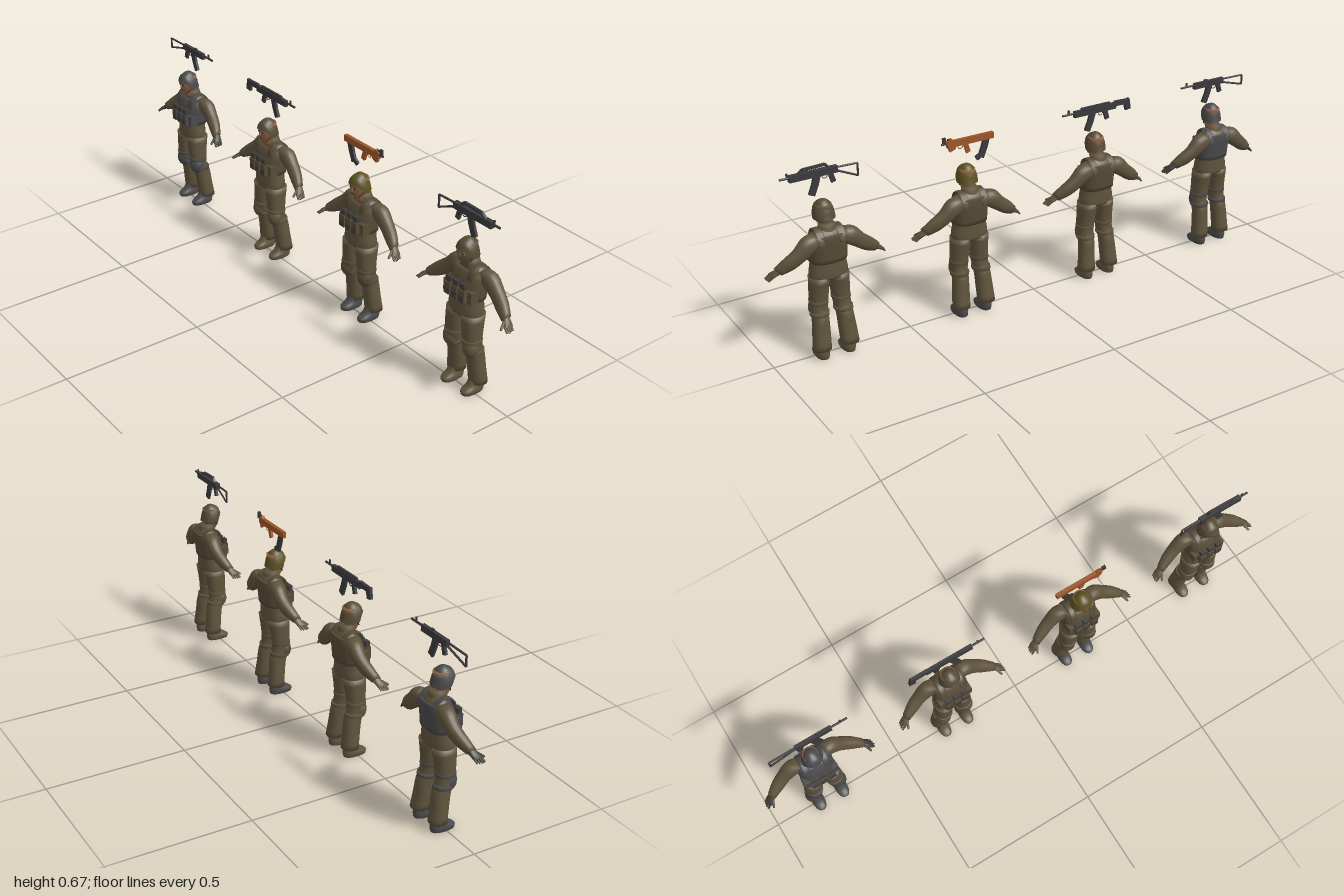
import * as THREE from 'three';

const mat = (name, color, side = THREE.FrontSide) => {
  const m = new THREE.MeshStandardMaterial({ color, side });
  m.name = name;
  return m;
};
const M = {
  uniform: mat('uniformOlive', 0x5f533c),
  vest: mat('vestOlive', 0x564b36, THREE.DoubleSide),
  grey: mat('gearGrey', 0x4a4a4c, THREE.DoubleSide),
  pouch: mat('pouchGrey', 0x403d39),
  gun: mat('gunMetal', 0x3a3a3c),
  skin: mat('skin', 0x8a5f42),
  green: mat('helmetGreen', 0x5a5220, THREE.DoubleSide),
  wood: mat('orangeWood', 0x9a5628),
  dark: mat('dark', 0x262523),
};
const V = (x, y, z = 0) => new THREE.Vector3(x, y, z);
const X = V(1, 0), Z = V(0, 0, 1);

function add(group, name, geometry, material) {
  const mesh = new THREE.Mesh(geometry, material);
  mesh.name = name;
  group.add(mesh);
}

// Smooth skin through rings [x, y, z, radiusU, radiusV]; p > 2 makes the section boxier
function loft(rings, u = X, v = Z, p = 2.2, n = 20) {
  const centres = new THREE.CatmullRomCurve3(rings.map(r => V(r[0], r[1], r[2])));
  const radii = new THREE.CatmullRomCurve3(rings.map(r => V(r[3], r[4])));
  const steps = (rings.length - 1) * 3, pos = [], idx = [];
  const along = centres.getPoint(1).sub(centres.getPoint(0));
  const dir = u.clone().normalize();
  if (dir.clone().cross(v).dot(along) < 0) dir.negate();
  for (let i = 0; i <= steps; i++) {
    const c = centres.getPoint(i / steps), r = radii.getPoint(i / steps);
    for (let k = 0; k < n; k++) {
      const a = (k / n) * Math.PI * 2, co = Math.cos(a), si = Math.sin(a);
      const q = c.clone()
        .addScaledVector(dir, r.x * Math.sign(co) * Math.abs(co) ** (2 / p))
        .addScaledVector(v, r.y * Math.sign(si) * Math.abs(si) ** (2 / p));
      pos.push(...q.toArray());
    }
  }
  for (let i = 0; i < steps; i++) for (let k = 0; k < n; k++) {
    const a = i * n + k, b = i * n + (k + 1) % n;
    idx.push(a, b, b + n, a, b + n, a + n);
  }
  // End caps
  const base = pos.length / 3, top = steps * n;
  pos.push(...centres.getPoint(0).toArray(), ...centres.getPoint(1).toArray());
  for (let k = 0; k < n; k++) {
    const k2 = (k + 1) % n;
    idx.push(base, k2, k, base + 1, top + k, top + k2);
  }
  const g = new THREE.BufferGeometry();
  g.setAttribute('position', new THREE.Float32BufferAttribute(pos, 3));
  g.setIndex(idx);
  g.computeVertexNormals();
  return g;
}
// Upright loft from rows [y, z, radiusX, radiusZ], with x given by a rule of y
const column = (rows, x = () => 0, p = 2.2) => loft(rows.map(([y, ...r]) => [x(y), y, ...r]), X, Z, p);
const box = (x, y, z, w, h, d) => new THREE.BoxGeometry(w, h, d).translate(x, y, z);
const ball = (c, a, b, d) => new THREE.SphereGeometry(1, 18, 12).scale(a, b, d).translate(c.x, c.y, c.z);

function between(g, a, b) {
  const turn = new THREE.Quaternion().setFromUnitVectors(V(0, 1), b.clone().sub(a).normalize());
  const mid = a.clone().lerp(b, 0.5);
  return g.applyQuaternion(turn).translate(mid.x, mid.y, mid.z);
}
const rod = (a, b, r, tip = r) => between(new THREE.CylinderGeometry(tip, r, a.distanceTo(b), 8), a, b);
const bar = (a, b, w, d = 0.009) => between(new THREE.BoxGeometry(w, a.distanceTo(b), d), a, b);

// Dome whose rim is high over the face and low over the ears
function helmetGeometry() {
  const g = new THREE.SphereGeometry(1, 28, 14, 0, Math.PI * 2, 0, Math.PI / 2), p = g.attributes.position;
  for (let i = 0; i < p.count; i++) {
    const y = p.getY(i), z = p.getZ(i);
    const rim = 0.488 + 0.027 * THREE.MathUtils.smoothstep(z, 0.1, 0.8);
    const flare = 1 + 0.08 * Math.max(0, 1 - 5 * y) * Math.abs(z);
    p.setXYZ(i, p.getX(i) * 0.037, rim + (0.551 - rim) * y, 0.005 + z * 0.037 * flare);
  }
  g.computeVertexNormals();
  return g;
}

function buildHead(g, o) {
  const face = o.mask ? M.uniform : M.skin;
  add(g, 'head', column([[0.445, -0.008, 0.022, 0.022], [0.469, 0.006, 0.02, 0.025],
    [0.485, 0.008, 0.026, 0.029], [0.51, 0.006, 0.031, 0.032], [0.535, 0.003, 0.026, 0.028]]), face);
  if (o.mask) add(g, 'eyeOpening', box(0, 0.506, 0.035, 0.034, 0.012, 0.006), M.skin);
  add(g, 'nose', ball(V(0, 0.495, 0.037), 0.004, 0.008, 0.006), face);
  if (!o.mask) add(g, 'mouth', box(0, 0.482, 0.036, 0.013, 0.002, 0.003), M.dark);
  for (const s of [-1, 1]) {
    add(g, 'eye', box(s * 0.011, 0.505, 0.037, 0.007, 0.003, 0.004), M.dark);
    add(g, 'chinStrap', rod(V(s * 0.031, 0.495, 0.008), V(s * 0.017, 0.47, 0.024), 0.0025), M.pouch);
  }
  add(g, 'helmet', helmetGeometry(), o.helmet);
  add(g, 'collar', column([[0.448, -0.013, 0.033, 0.03], [0.474, -0.011, 0.026, 0.025]]), M.uniform);
}

const jacket = [[0.285, -0.002, 0.065, 0.041], [0.305, -0.002, 0.066, 0.042], [0.345, -0.003, 0.06, 0.041],
  [0.39, -0.007, 0.061, 0.041], [0.42, -0.012, 0.06, 0.038], [0.442, -0.018, 0.054, 0.031], [0.464, -0.013, 0.028, 0.02]];

function buildTorso(g, o) {
  add(g, 'jacket', column(jacket), M.uniform);
  // The vest follows the jacket a little further out
  add(g, 'vest', column(jacket.slice(2, 6).map(([y, z, rx, rz]) => [y, z, rx + 0.003, rz + 0.005]), undefined, 2.6), o.vest);
  for (const s of [-1, 1]) {
    const strap = [];
    for (let i = 0; i < 6; i++) {
      const a = i * Math.PI / 5;
      strap.push([s * 0.037, 0.418 + 0.043 * Math.sin(a), -0.013 + 0.041 * Math.cos(a), 0.012, 0.004]);
    }
    add(g, 'vestStrap', loft(strap, X, V(0, 0.75, 0.66), 3, 10), o.vest);
    add(g, 'sidePouch', box(s * 0.054, 0.367, 0.026, 0.018, 0.042, 0.03), o.vest);
  }
  for (const x of [-0.032, 0, 0.032]) {
    add(g, 'magazinePouch', box(x, 0.372, 0.045, 0.027, 0.042, 0.022), o.vest);
    add(g, 'magazine', box(x, 0.396, 0.045, 0.022, 0.034, 0.015), M.pouch);
    add(g, 'pouchFlap', box(x, 0.362, 0.0555, 0.023, 0.022, 0.003), M.pouch);
  }
}

function buildLeg(g, o, s) {
  const legX = y => s * (0.052 - 0.062 * y), footX = () => s * 0.047;
  add(g, 'trouserLeg', column([[0.034, -0.025, 0.031, 0.03], [0.09, -0.018, 0.03, 0.029], [0.14, -0.011, 0.028, 0.031],
    [0.175, 0.001, 0.029, 0.031], [0.23, 0.002, 0.032, 0.035], [0.29, -0.002, 0.034, 0.041]], legX), M.uniform);
  add(g, 'kneePad', ball(V(s * 0.045, 0.172, 0.011), 0.028, 0.036, 0.028), o.knee);
  for (const y of [0.158, 0.198]) {
    const z = (y - 0.18) / 5;
    add(g, 'kneeStrap', column([[y - 0.006, z, 0.032, 0.034], [y + 0.006, z, 0.032, 0.034]], legX), o.knee);
  }
  add(g, 'boot', column([[0, -0.004, 0.021, 0.042], [0.012, -0.004, 0.023, 0.044],
    [0.028, -0.015, 0.02, 0.032], [0.055, -0.022, 0.02, 0.024]], footX, 2.4), o.boot);
}

// Arm and hand reach out and down, sweeping forward
function buildArm(g, o, s) {
  const across = V(s * 0.64, 0.77);
  add(g, 'sleeve', loft([[s * 0.038, 0.432, -0.022, 0.027, 0.024], [s * 0.07, 0.42, -0.026, 0.032, 0.027],
    [s * 0.105, 0.391, -0.025, 0.026, 0.023], [s * 0.14, 0.364, -0.016, 0.024, 0.021], [s * 0.173, 0.341, -0.003, 0.016, 0.016]], across), M.uniform);
  add(g, 'palm', loft([[s * 0.168, 0.344, -0.004, 0.011, 0.013], [s * 0.195, 0.326, 0.007, 0.006, 0.017]], across), o.glove);
  for (let i = 0; i < 4; i++) {
    const z = -0.006 + i * 0.0085, tip = 0.209 - Math.abs(i - 2) * 0.002;
    add(g, 'finger', rod(V(s * 0.192, 0.328, z), V(s * tip, 0.315, z + 0.004), 0.0042, 0.003), o.glove);
  }
  add(g, 'thumb', rod(V(s * 0.18, 0.336, 0.012), V(s * 0.189, 0.322, 0.034), 0.0055, 0.0035), o.glove);
}

function buildSoldier(o) {
  const g = new THREE.Group();
  g.name = 'soldier';
  buildHead(g, o);
  buildTorso(g, o);
  for (const s of [-1, 1]) {
    buildLeg(g, o, s);
    buildArm(g, o, s);
  }
  return g;
}

// Rifle from its butt-side end, fore end, muzzle, magazine and grip positions along x
function buildRifle({ rear, fore, muzzle, mag, grip, wide = 0.013, body = M.gun }) {
  const g = new THREE.Group();
  g.name = 'rifle';
  add(g, 'receiver', box((rear + fore) / 2, 0.639, 0, fore - rear, 0.022, wide), body);
  add(g, 'barrel', rod(V(fore, 0.643), V(muzzle, 0.643), 0.004), M.gun);
  add(g, 'frontSight', box(muzzle - 0.025, 0.651, 0, 0.006, 0.016, 0.004), M.gun);
  add(g, 'magazine', bar(V(mag, 0.632), V(mag + 0.009, 0.6), 0.023), M.gun);
  add(g, 'magazineEnd', bar(V(mag + 0.007, 0.605), V(mag + 0.023, 0.567), 0.022), M.gun);
  add(g, 'grip', bar(V(grip, 0.63), V(grip - 0.01, 0.597), 0.016), body);
  add(g, 'triggerGuard', new THREE.TorusGeometry(0.009, 0.0015, 6, 16).translate(grip + 0.019, 0.624, 0), body);
  return g;
}
function skeletonStock(g, x0, x1, drop) {
  const corners = [V(x0, 0.643), V(x1, 0.641), V(x1, drop), V(x0, 0.632)];
  for (let i = 0; i < 3; i++) add(g, 'stock', rod(corners[i], corners[i + 1], 0.0036), M.gun);
}

// Folding stock rifle
function foldingRifle() {
  const g = buildRifle({ rear: -0.035, fore: 0.098, muzzle: 0.157, mag: 0.026, grip: -0.013 });
  add(g, 'rearSight', box(0.045, 0.652, 0, 0.014, 0.008, 0.006), M.gun);
  skeletonStock(g, -0.03, -0.128, 0.605);
  return g;
}
// Solid stock rifle
function solidRifle() {
  const g = buildRifle({ rear: -0.075, fore: 0.1, muzzle: 0.147, mag: 0.022, grip: -0.03 });
  add(g, 'topRail', box(0.01, 0.653, 0, 0.12, 0.008, 0.008), M.gun);
  add(g, 'stock', bar(V(-0.07, 0.646), V(-0.125, 0.644), 0.018, 0.011), M.gun);
  add(g, 'butt', bar(V(-0.122, 0.653), V(-0.129, 0.614), 0.022, 0.011), M.gun);
  return g;
}
// Compact wooden rifle with the magazine behind the grip
function compactRifle() {
  const g = buildRifle({ rear: -0.096, fore: 0.08, muzzle: 0.099, mag: -0.07, grip: 0.01, body: M.wood });
  add(g, 'foreGrip', bar(V(0.074, 0.654), V(0.059, 0.617), 0.024, 0.012), M.wood);
  add(g, 'magazineTip', bar(V(-0.053, 0.58), V(-0.03, 0.566), 0.016), M.gun);
  add(g, 'muzzleBlock', box(0.09, 0.655, 0, 0.012, 0.02, 0.008), M.gun);
  return g;
}
// Carry handle rifle
function handleRifle() {
  const g = buildRifle({ rear: -0.06, fore: 0.105, muzzle: 0.136, mag: 0.01, grip: -0.035, wide: 0.017 });
  const handle = [V(-0.03, 0.646), V(-0.02, 0.662), V(0.058, 0.66), V(0.076, 0.646)];
  for (let i = 0; i < 3; i++) add(g, 'carryHandle', bar(handle[i], handle[i + 1], 0.008), M.gun);
  skeletonStock(g, -0.058, -0.131, 0.598);
  return g;
}

export function createModel() {
  const model = new THREE.Group();
  model.name = 'soldierSquad';
  const plain = { helmet: M.vest, vest: M.vest, knee: M.uniform, boot: M.uniform, glove: M.uniform };
  const squad = [
    { rifle: foldingRifle(), z: -0.006, o: { helmet: M.grey, vest: M.grey, knee: M.grey, boot: M.grey, glove: M.pouch } },
    { rifle: solidRifle(), z: -0.006, o: plain },
    { rifle: compactRifle(), z: -0.008, o: { ...plain, helmet: M.green, knee: M.vest, boot: M.grey } },
    { rifle: handleRifle(), z: 0.013, o: { ...plain, mask: true } },
  ];
  squad.forEach(({ rifle, z, o }, i) => {
    const soldier = buildSoldier(o), x = (i - 1.5) * 0.525;
    soldier.position.x = x;
    rifle.position.set(x, 0, z);
    model.add(soldier, rifle);
  });
  return model;
}
